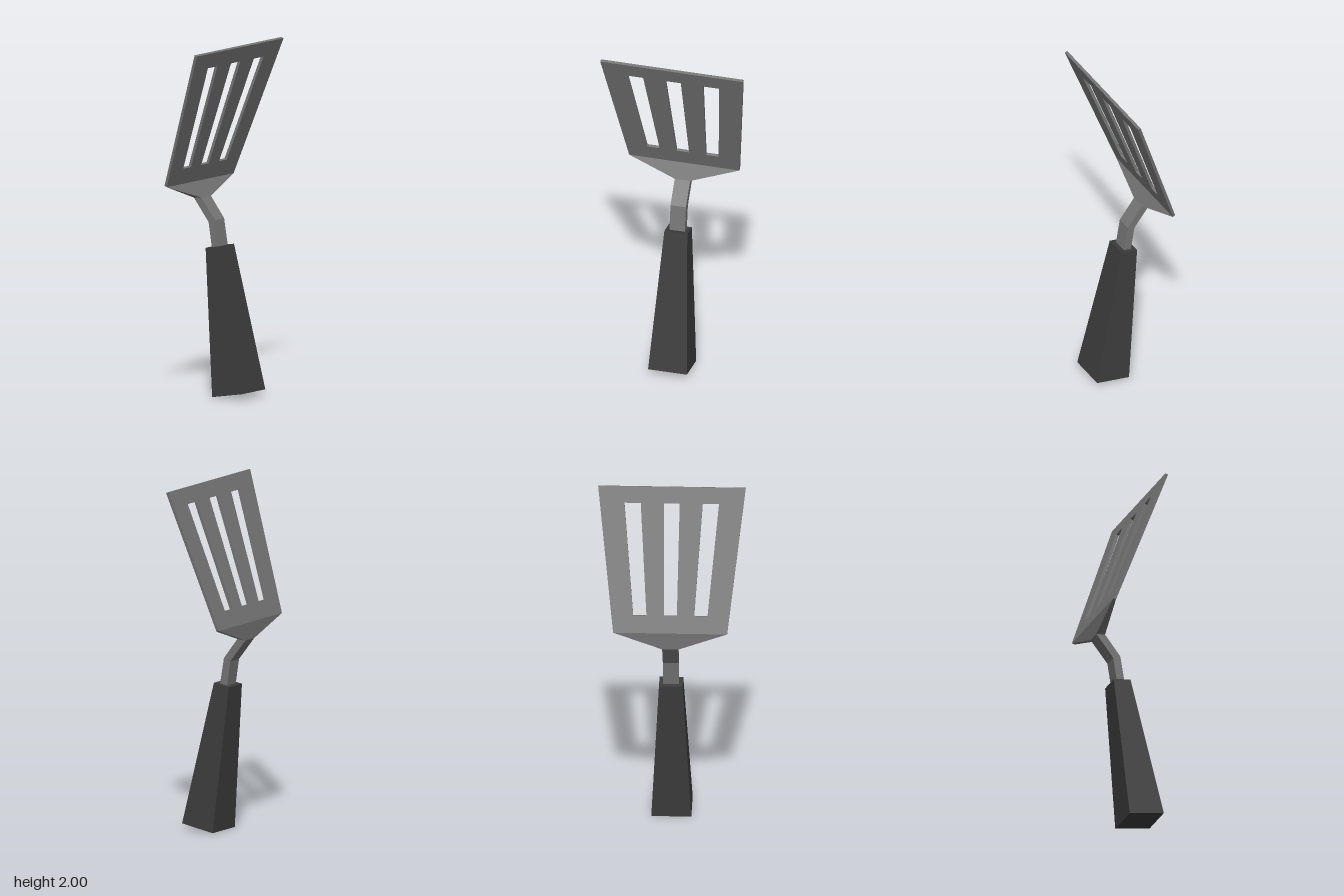
import * as THREE from 'three';

const steel = new THREE.MeshStandardMaterial({ color: 0x757575 });
steel.name = 'steel';
const darkGrip = new THREE.MeshStandardMaterial({ color: 0x3c3c3c });
darkGrip.name = 'darkGrip';

// Closed loft through four-sided sections, listed top to bottom:
// [half width, front y, front z, back y, back z]
function loft(sections) {
  const rings = sections.map(([w, fy, fz, by, bz]) => [
    [w, fy, fz], [-w, fy, fz], [-w, by, bz], [w, by, bz],
  ]);
  const pos = [];
  const quad = (a, b, c, d) => pos.push(...a, ...b, ...c, ...a, ...c, ...d);
  for (let i = 0; i < rings.length - 1; i++) {
    for (let k = 0; k < 4; k++) {
      const n = (k + 1) % 4;
      quad(rings[i][k], rings[i][n], rings[i + 1][n], rings[i + 1][k]);
    }
  }
  const [a, b, c, d] = rings[0];
  quad(d, c, b, a);
  quad(...rings[rings.length - 1]);
  const geo = new THREE.BufferGeometry();
  geo.setAttribute('position', new THREE.Float32BufferAttribute(pos, 3));
  geo.computeVertexNormals();
  return geo;
}

// Slotted plate, drawn upright and then leaned forward
function bladeGeometry() {
  const bottom = 1.21, top = 1.994;
  const points = (list) => list.map(([x, y]) => new THREE.Vector2(x, y));
  const shape = new THREE.Shape(points([
    [-0.322, bottom], [0.322, bottom], [0.417, top], [-0.417, top],
  ]));
  // Each slot: bottom left, bottom right, top right, top left x
  const slots = [
    [-0.21, -0.135, -0.175, -0.267],
    [-0.037, 0.037, 0.045, -0.045],
    [0.135, 0.21, 0.267, 0.175],
  ];
  for (const [a, b, c, d] of slots) {
    shape.holes.push(new THREE.Path(points([
      [a, 1.305], [d, 1.905], [c, 1.905], [b, 1.305],
    ])));
  }
  const geo = new THREE.ExtrudeGeometry(shape, { depth: 1, bevelEnabled: false });
  const p = geo.attributes.position;
  for (let i = 0; i < p.count; i++) {
    const t = (p.getY(i) - bottom) / (top - bottom);
    const behind = 1 - p.getZ(i);
    p.setY(i, p.getY(i) + 0.006 * behind);
    p.setZ(i, -0.179 + 0.279 * t - 0.016 * behind);
  }
  geo.computeVertexNormals();
  return geo;
}

export function createModel() {
  const model = new THREE.Group();
  model.name = 'spatula';
  const add = (name, geometry, material) => {
    const mesh = new THREE.Mesh(geometry, material);
    mesh.name = name;
    model.add(mesh);
  };

  add('blade', bladeGeometry(), steel);

  // Shoulder narrows and thickens from the blade to the neck
  add('shoulder', loft([
    [0.322, 1.21, -0.179, 1.216, -0.195],
    [0.045, 1.12, -0.137, 1.115, -0.19],
  ]), steel);

  // Cranked neck, ending inside the handle
  add('neck', loft([
    [0.045, 1.12, -0.137, 1.115, -0.19],
    [0.045, 1.0, -0.045, 0.985, -0.088],
    [0.045, 0.83, -0.016, 0.82, -0.062],
  ]), steel);

  // Tapered square handle
  add('handle', loft([
    [0.067, 0.856, 0.008, 0.84, -0.093],
    [0.113, 0.035, 0.193, 0, -0.014],
  ]), darkGrip);

  return model;
}
